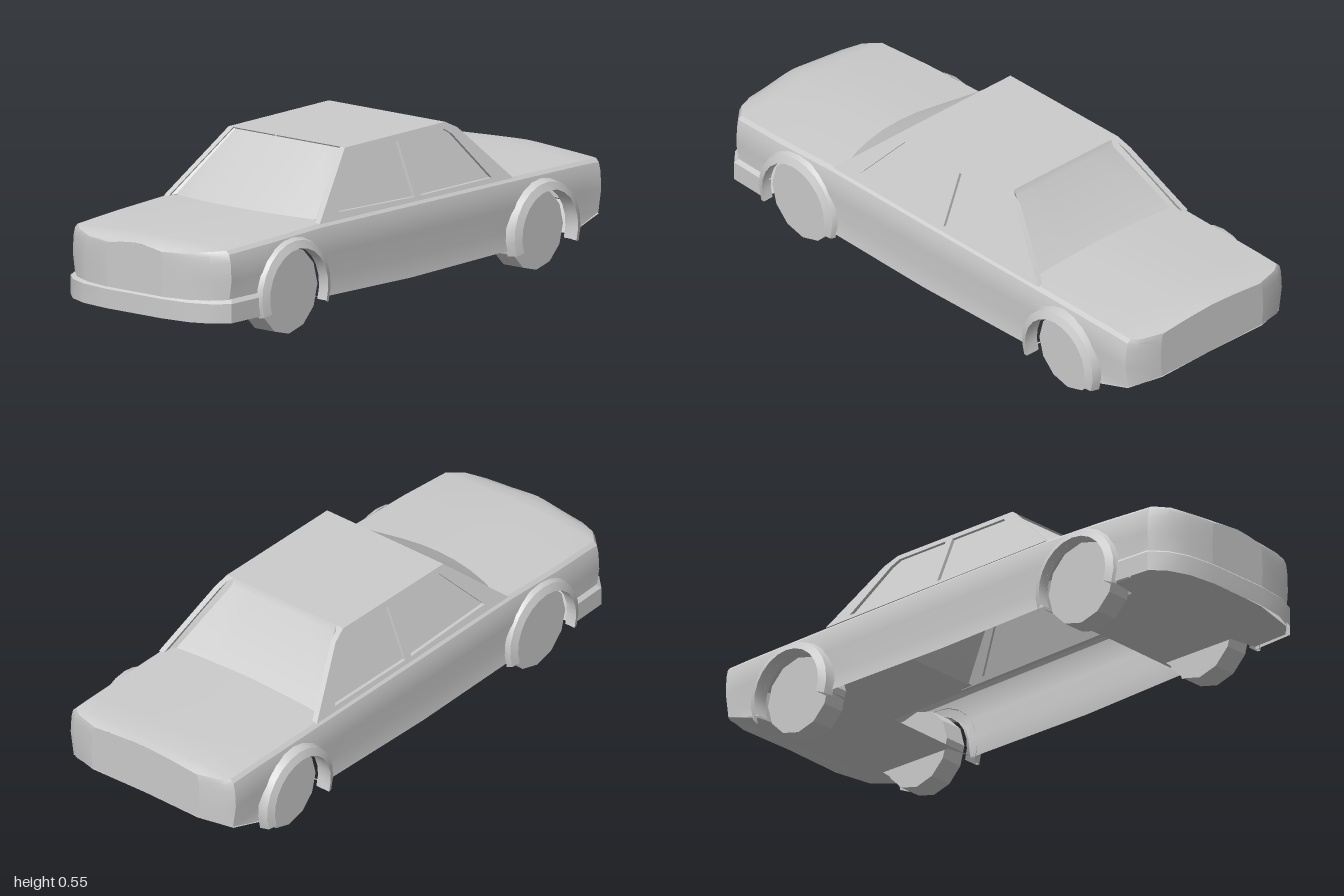
import * as THREE from 'three';
import { toCreasedNormals } from 'three/addons/utils/BufferGeometryUtils.js';

const mat = new THREE.MeshStandardMaterial({ color: 0xcccccc, side: THREE.DoubleSide });

// Piecewise linear lookup in [[key, value], ...]
function lerpTable(table, k) {
  if (k <= table[0][0]) return table[0][1];
  for (let i = 1; i < table.length; i++) {
    const [a, va] = table[i - 1], [b, vb] = table[i];
    if (k <= b) return va + (vb - va) * (k - a) / (b - a);
  }
  return table[table.length - 1][1];
}

// Surface through a grid of points fn(i, j)
function surface(nu, nv, fn, flip = false) {
  const pos = [], idx = [];
  for (let i = 0; i < nu; i++) for (let j = 0; j < nv; j++) pos.push(...fn(i, j));
  for (let i = 0; i < nu - 1; i++) for (let j = 0; j < nv - 1; j++) {
    const a = i * nv + j, b = a + 1, c = a + nv, d = c + 1;
    idx.push(...(flip ? [a, b, c, b, d, c] : [a, c, b, b, c, d]));
  }
  const g = new THREE.BufferGeometry();
  g.setAttribute('position', new THREE.Float32BufferAttribute(pos, 3));
  g.setIndex(idx);
  return toCreasedNormals(g, 0.5);
}

// Strip between two rows of points, mirrored by s
const strip = (rowA, rowB, s = 1) => surface(2, rowA.length, (i, j) => {
  const [x, y, z] = (i ? rowB : rowA)[j];
  return [x, y, z * s];
}, s < 0);

// Body shape rules, lengthwise along x
const arches = [
  { name: 'front', x: -0.6, y: 0.145, r: 0.148, wheel: 0.145, flare: 0.375 },
  { name: 'rear', x: 0.66, y: 0.135, r: 0.142, wheel: 0.135, flare: 0.39 },
];
const halfWidth = [[-0.994, 0.12], [-0.98, 0.22], [-0.95, 0.29], [-0.905, 0.338], [-0.7, 0.348],
  [0, 0.352], [0.96, 0.352], [0.98, 0.32], [1, 0.23]];
const topLine = [[-0.994, 0.312], [-0.95, 0.326], [-0.9, 0.33], [-0.45, 0.345], [0.5, 0.335], [0.95, 0.328], [1, 0.318]];
const baseLine = [[-0.994, 0.092], [-0.45, 0.1], [0, 0.09], [0.5, 0.095], [0.82, 0.1], [0.96, 0.145], [1, 0.155]];
const sideProfile = [[0, 0.945], [0.012, 0.98], [0.04, 1], [0.1, 1.01], [0.18, 0.975], [0.26, 1]];

function bottomY(x) {
  for (const a of arches) {
    const d = x - a.x;
    if (Math.abs(d) <= a.r + 1e-6) return a.y + Math.sqrt(Math.max(0, a.r * a.r - d * d));
  }
  return lerpTable(baseLine, x);
}

// Side rows run from the sill up to the shoulder
const depths = [1, 0.18, 0.1, 0.04, 0.012, 0];
function sidePoint(x, j, s) {
  const top = lerpTable(topLine, x);
  const y = Math.max(bottomY(x), top - depths[j]);
  return [x, y, s * lerpTable(halfWidth, x) * lerpTable(sideProfile, top - y)];
}

// Hood and boot lid are crowned toward the middle
function deckPoint(x, t) {
  const z = lerpTable(halfWidth, x) * 0.945 * t;
  return [x, lerpTable(topLine, x) + 0.015 * (1 - Math.abs(t) ** 1.5), z];
}

export function createModel() {
  const car = new THREE.Group();
  car.name = 'car';
  const add = (name, geometry) => {
    const m = new THREE.Mesh(geometry, mat);
    m.name = name;
    car.add(m);
    return m;
  };

  // Stations along the body, with extra ones round the wheel arches
  const xs = [-0.994, -0.98, -0.95, -0.905, -0.82, -0.4, -0.2, 0, 0.2, 0.4, 0.87, 0.96, 0.98, 1];
  for (const a of arches) {
    xs.push(a.x - a.r - 0.002, a.x + a.r + 0.002);
    for (let k = 0; k <= 12; k++) xs.push(a.x - a.r * Math.cos(k * Math.PI / 12));
  }
  xs.sort((a, b) => a - b);

  // Hood, boot lid and the floor panels below them
  const hoodX = [-0.994, -0.98, -0.95, -0.905, -0.7, -0.42];
  const bootX = [0.48, 0.7, 0.87, 0.96, 0.98, 1];
  for (const [name, row] of [['hood', hoodX], ['bootLid', bootX]]) {
    add(name, surface(row.length, 9, (i, j) => deckPoint(row[i], j / 4 - 1), true));
  }
  const floors = { frontFloor: [-0.994, -0.95, -0.905, -0.76, -0.745, -0.455, -0.44],
    rearFloor: [0.5, 0.515, 0.805, 0.82, 0.96, 1] };
  for (const [name, row] of Object.entries(floors)) {
    add(name, surface(row.length, 3, (i, j) => {
      const x = row[i], inArch = arches.some(a => Math.abs(x - a.x) < a.r + 0.005);
      const w = inArch ? 0.24 : lerpTable(halfWidth, x) * 0.98;
      return [x, lerpTable(baseLine, x) - (j === 1 ? 0 : 0.004), (j - 1) * w];
    }));
  }

  // Nose and tail panels
  for (const [name, x] of [['nosePanel', -0.994], ['tailPanel', 1]]) {
    add(name, surface(7, 5, (i, j) => {
      const t = j / 2 - 1;
      if (i === 6) return deckPoint(x, t);
      const p = sidePoint(x, i, 1);
      return [x, p[1], p[2] * t];
    }, x > 0));
  }

  // Wrap-round front bumper
  const half = [[-0.752, 0.353], [-0.91, 0.346], [-0.957, 0.297], [-0.987, 0.226], [-1, 0.12]];
  const wrap = [...half, ...half.map(([x, z]) => [x, -z]).reverse()];
  const section = [[0, 0.09], [0, 0.155], [0.012, 0.168]];
  add('frontBumper', surface(wrap.length, 3, (i, j) => {
    const [x, z] = wrap[i], [inset, y] = section[j];
    return [x + inset, y, z - Math.sign(z) * inset];
  }));

  // Tail trim ledge
  const ledge = new THREE.BoxGeometry(0.006, 0.006, 0.18);
  ledge.translate(0.997, 0.29, 0);
  add('bootHandle', ledge);

  // Cabin side outline and its window openings
  const outline = [[-0.45, 0.343], [-0.22, 0.55], [0.29, 0.55], [0.34, 0.525], [0.53, 0.333]];
  const windows = [
    [[-0.34, 0.365], [-0.325, 0.38], [-0.19, 0.53], [0.04, 0.53], [0.04, 0.352]],
    [[0.07, 0.352], [0.07, 0.53], [0.275, 0.53], [0.305, 0.51], [0.43, 0.35]],
  ];
  const toPoints = list => list.map(p => new THREE.Vector2(...p));
  const lean = y => 0.335 - (y - 0.345) * 0.415;
  const frameShape = new THREE.Shape(toPoints(outline));
  for (const w of windows) frameShape.holes.push(new THREE.Path(toPoints(w)));

  function leaning(geometry, s, inset) {
    const p = geometry.attributes.position;
    for (let i = 0; i < p.count; i++) p.setZ(i, s * (lean(p.getY(i)) - inset - p.getZ(i)));
    // Mirroring z turns the faces over, so the order of corners is put back
    if (s > 0) {
      const g = geometry.index ? geometry.toNonIndexed() : geometry;
      const q = g.attributes.position, a = new THREE.Vector3(), b = new THREE.Vector3();
      for (let i = 0; i < q.count; i += 3) {
        a.fromBufferAttribute(q, i);
        b.fromBufferAttribute(q, i + 1);
        q.setXYZ(i, b.x, b.y, b.z);
        q.setXYZ(i + 1, a.x, a.y, a.z);
      }
      geometry = g;
    }
    return toCreasedNormals(geometry, 0.4);
  }

  for (const s of [1, -1]) {
    const side = s > 0 ? 'left' : 'right';
    add(side + 'BodySide', surface(xs.length, depths.length, (i, j) => sidePoint(xs[i], j, s), s > 0));
    add(side + 'WindowFrame', leaning(
      new THREE.ExtrudeGeometry(frameShape, { depth: 0.02, bevelEnabled: false }), s, 0));
    for (const w of windows) {
      add(side + 'Window', leaning(new THREE.ShapeGeometry(new THREE.Shape(toPoints(w))), s, 0.012));
    }

    // Pillars beside the windscreen and rear window
    add(side + 'WindscreenPillar', strip([[-0.22, 0.55, 0.25], [-0.45, 0.343, 0.335]],
      [[-0.215, 0.545, 0.225], [-0.427, 0.35, 0.3]], s));
    add(side + 'RearPillar', strip([[0.29, 0.55, 0.25], [0.34, 0.525, 0.26], [0.53, 0.333, 0.34]],
      [[0.29, 0.55, 0.22], [0.3, 0.528, 0.22], [0.485, 0.335, 0.305]], s));

    // Flared wheel arches with an inward lip
    for (const a of arches) {
      const rings = [[a.r + 0.034, 0.346], [a.r + 0.026, a.flare - 0.012], [a.r, a.flare], [a.r, 0.335]];
      add(side + a.name + 'ArchFlare', surface(15, 4, (i, j) => {
        const ang = THREE.MathUtils.degToRad(-20 + 220 * i / 14), [r, z] = rings[j];
        return [a.x + r * Math.cos(ang), a.y + r * Math.sin(ang), s * z];
      }, s < 0));

      // Wheels
      const wheel = add(side + a.name + 'Wheel',
        toCreasedNormals(new THREE.CylinderGeometry(a.wheel, a.wheel, 0.085, 12), 0.3));
      wheel.rotation.x = Math.PI / 2;
      wheel.position.set(a.x, a.wheel, s * 0.288);
    }
  }

  // Roof, windscreen and rear window
  add('roof', surface(2, 5, (i, j) => [i ? 0.29 : -0.22, 0.55, (j / 2 - 1) * 0.25], true));
  add('windscreen', surface(2, 9, (i, j) => {
    const t = j / 4 - 1;
    return i ? [-0.215, 0.545, 0.225 * t] : [-0.49 + 0.063 * t * t, 0.36 - 0.01 * t * t, 0.3 * t];
  }, true));
  add('rearWindow', surface(3, 5, (i, j) => {
    const [x, y, w] = [[0.29, 0.55, 0.22], [0.3, 0.528, 0.22], [0.485, 0.335, 0.305]][i];
    return [x, y, w * (j / 2 - 1)];
  }, true));

  return car;
}
